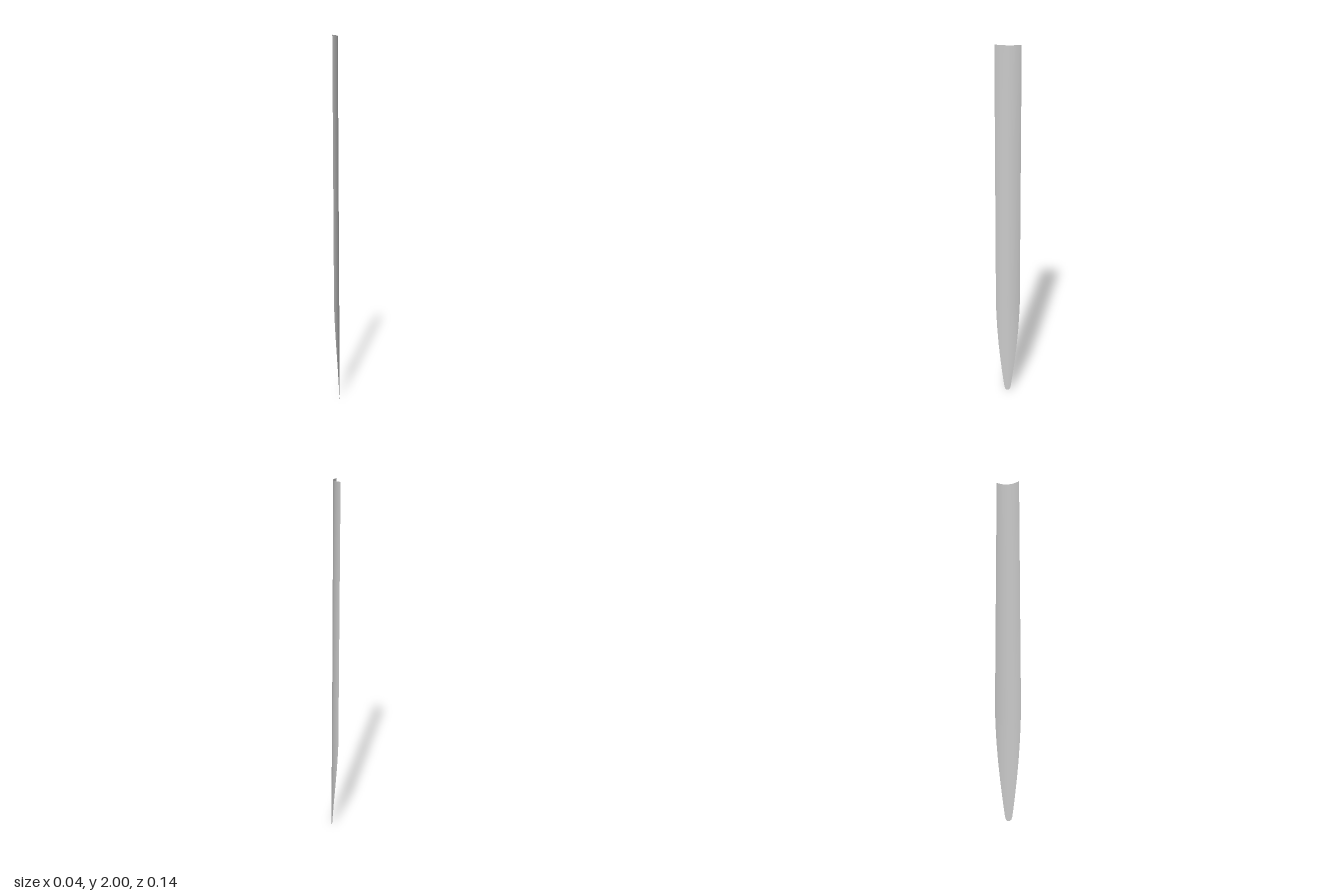
import * as THREE from 'three';

// Half-width of the blade at height y: [y, halfWidth] from rounded tip to straight shaft
const OUTLINE = [
  [0, 0.006], [0.006, 0.013], [0.02, 0.018], [0.05, 0.0225], [0.12, 0.032], [0.2, 0.042],
  [0.3, 0.0525], [0.4, 0.0605], [0.48, 0.065], [0.56, 0.068], [1, 0.068], [1.5, 0.068], [2, 0.068],
];
const ACROSS = [-1, -0.84, -0.45, 0, 0.45, 0.84, 1]; // facet lines across the width
const RADIUS = 0.102; // curvature of the cross-section
const LEAN = 0.0058; // sideways drift per unit of height

// Thin curved sheet: a plane whose vertices follow the outline and the arc
function bladeGeometry() {
  const cols = ACROSS.length;
  const rows = OUTLINE.length;
  const geometry = new THREE.PlaneGeometry(1, 1, cols - 1, rows - 1);
  const position = geometry.attributes.position;
  for (let r = 0; r < rows; r++) {
    const [y, half] = OUTLINE[rows - 1 - r];
    for (let c = 0; c < cols; c++) {
      const z = -ACROSS[c] * half;
      const sag = RADIUS - Math.sqrt(RADIUS * RADIUS - z * z);
      position.setXYZ(r * cols + c, 0.0185 - LEAN * y - sag, y, z);
    }
  }
  geometry.computeVertexNormals();
  return geometry;
}

export function createModel() {
  const model = new THREE.Group();
  const material = new THREE.MeshStandardMaterial({ color: 0xcccccc, side: THREE.DoubleSide });
  const blade = new THREE.Mesh(bladeGeometry(), material);
  blade.name = 'curvedBlade';
  model.add(blade);
  return model;
}
